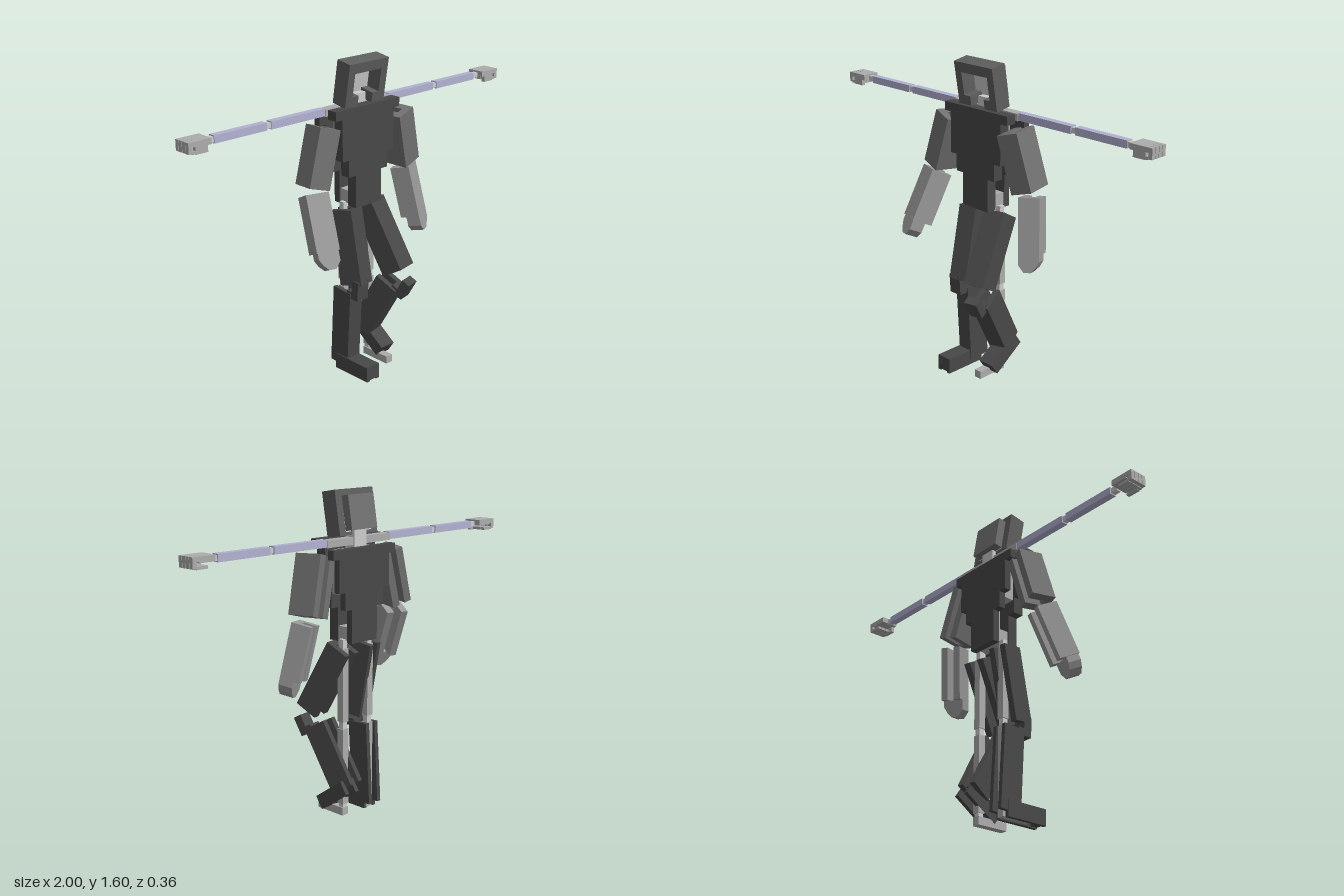
import * as THREE from 'three';

const mat = (name, color) => {
  const m = new THREE.MeshStandardMaterial({ color });
  m.name = name;
  return m;
};

export function createModel() {
  const root = new THREE.Group();
  root.name = 'armouredFigure';
  const charcoal = mat('charcoal', 0x484848);
  const helmetGrey = mat('helmetGrey', 0x5e5e5e);
  const armGrey = mat('armGrey', 0x717171);
  const forearmGrey = mat('forearmGrey', 0x989898);
  const boneGrey = mat('boneGrey', 0xacacac);
  const paleGrey = mat('paleGrey', 0xcccccc);
  const lavender = mat('lavender', 0xb2b2d2);

  const add = (parent, name, geometry, material) => {
    const m = new THREE.Mesh(geometry, material);
    m.name = name;
    parent.add(m);
    return m;
  };
  // Box given by its limits on each axis
  const box = (parent, name, material, x0, x1, y0, y1, z0, z1) => {
    const m = add(parent, name, new THREE.BoxGeometry(x1 - x0, y1 - y0, z1 - z0), material);
    m.position.set((x0 + x1) / 2, (y0 + y1) / 2, (z0 + z1) / 2);
    return m;
  };
  const shapeOf = pts => new THREE.Shape(pts.map(p => new THREE.Vector2(p[0], p[1])));
  const extrude = (pts, depth) =>
    new THREE.ExtrudeGeometry(shapeOf(pts), { depth, bevelEnabled: false });

  // Armour channel from one joint to the next, closed on its front, open at its back.
  // The group's origin is the upper joint; its local -y runs along the limb.
  const channel = (name, material, from, to, w, d, wall, front) => {
    const a = new THREE.Vector3(...from), b = new THREE.Vector3(...to);
    const L = a.distanceTo(b);
    const Y = a.clone().sub(b).normalize();
    const X = Y.clone().cross(new THREE.Vector3(...front)).normalize();
    const Z = X.clone().cross(Y);
    const g = new THREE.Group();
    g.name = name;
    g.quaternion.setFromRotationMatrix(new THREE.Matrix4().makeBasis(X, Y, Z));
    g.position.copy(a);
    const x = w / 2, z = d / 2;
    const geo = extrude([
      [-x, -z], [x, -z], [x, z], [x - wall, z], [x - wall, wall - z],
      [wall - x, wall - z], [wall - x, z], [-x, z],
    ], L);
    geo.rotateX(-Math.PI / 2).translate(0, -L, 0);
    add(g, name + 'Shell', geo, material);
    root.add(g);
    g.userData.length = L;
    return g;
  };

  // Torso: stepped front and back plates around a bony core
  const torsoOutline = top => {
    const half = [
      [0.085, 0.885], [0.085, 1.05], [0.128, 1.05], [0.128, 1.135],
      [0.168, 1.135], [0.168, top - 0.045], [0.208, top - 0.045], [0.208, top],
    ];
    return [...half, ...half.map(([x, y]) => [-x, y]).reverse()];
  };
  add(root, 'chestPlate', extrude(torsoOutline(1.385), 0.055), charcoal).position.z = -0.045;
  add(root, 'backPlate', extrude(torsoOutline(1.34), 0.035), charcoal).position.z = -0.14;
  box(root, 'ribCage', boneGrey, -0.12, 0.12, 1.12, 1.33, -0.105, -0.045);
  box(root, 'spine', boneGrey, -0.03, 0.03, 0.9, 1.12, -0.1, -0.05);
  box(root, 'pelvis', boneGrey, -0.08, 0.08, 0.895, 0.96, -0.105, -0.045);
  box(root, 'shoulderBar', boneGrey, -0.21, 0.21, 1.35, 1.385, -0.105, -0.06);
  box(root, 'neck', paleGrey, -0.04, 0.04, 1.33, 1.43, -0.11, -0.05);

  // Head: helmet frame with a face opening, skull box behind
  const head = new THREE.Group();
  head.name = 'head';
  head.position.set(-0.004, 1.39, -0.055);
  head.rotation.x = 0.17;
  root.add(head);
  const frame = [
    [-0.126, 0], [-0.045, 0], [-0.045, 0.05], [-0.085, 0.05], [-0.085, 0.165],
    [0.085, 0.165], [0.085, 0.05], [0.045, 0.05], [0.045, 0], [0.126, 0],
    [0.126, 0.215], [-0.126, 0.215],
  ];
  add(head, 'helmetFrame', extrude(frame, 0.085), helmetGrey).position.z = -0.043;
  box(head, 'skull', armGrey, -0.085, 0.085, 0.02, 0.185, -0.085, -0.043);
  box(head, 'facePlate', paleGrey, -0.086, 0.086, 0.015, 0.166, -0.043, -0.036);

  // Arm bones stretched straight to both sides, ending in fists
  for (const s of [-1, 1]) {
    const side = s > 0 ? 'left' : 'right';
    const arm = new THREE.Group();
    arm.name = side + 'BoneArm';
    root.add(arm);
    const part = (name, m, x0, x1, ...yz) =>
      box(arm, name, m, Math.min(s * x0, s * x1), Math.max(s * x0, s * x1), ...yz);
    part('upperArmBone', lavender, 0.21, 0.53, 1.353, 1.389, -0.1, -0.064);
    part('elbowJoint', paleGrey, 0.53, 0.555, 1.358, 1.384, -0.094, -0.068);
    part('forearmBone', lavender, 0.555, 0.845, 1.353, 1.389, -0.1, -0.064);
    part('wristJoint', paleGrey, 0.845, 0.88, 1.358, 1.384, -0.094, -0.068);
    part('palm', boneGrey, 0.88, 0.965, 1.365, 1.393, -0.127, -0.035);
    part('thumb', boneGrey, 0.9, 0.965, 1.335, 1.365, -0.053, -0.035);
    for (let i = 0; i < 4; i++) {
      const z = -0.127 + i * 0.0237;
      part('fingerTop', boneGrey, 0.965, 1, 1.37, 1.393, z, z + 0.021);
      part('fingerEnd', boneGrey, 0.98, 1, 1.342, 1.37, z, z + 0.021);
      part('fingerTip', boneGrey, 0.92, 0.98, 1.338, 1.352, z, z + 0.021);
    }

    // Leg bones standing straight
    const leg = new THREE.Group();
    leg.name = side + 'BoneLeg';
    leg.position.x = s * 0.085;
    root.add(leg);
    box(leg, 'hipJoint', paleGrey, -0.014, 0.014, 0.85, 0.9, -0.092, -0.064);
    box(leg, 'thighBone', boneGrey, -0.019, 0.019, 0.49, 0.855, -0.097, -0.06);
    box(leg, 'kneeJoint', paleGrey, -0.014, 0.014, 0.455, 0.49, -0.092, -0.064);
    box(leg, 'shinBone', boneGrey, -0.019, 0.019, 0.07, 0.455, -0.097, -0.06);
    box(leg, 'ankleJoint', paleGrey, -0.014, 0.014, 0.05, 0.07, -0.092, -0.064);
    box(leg, 'footBone', boneGrey, -0.02, 0.02, 0.012, 0.052, -0.095, 0.075);
  }

  // Arm armour hanging at the sides
  channel('leftUpperArm', armGrey, [0.22, 1.312, -0.035], [0.295, 1.035, -0.06],
    0.115, 0.145, 0.04, [0.15, 0, 1]);
  channel('rightUpperArm', armGrey, [-0.225, 1.305, -0.06], [-0.307, 1.03, -0.05],
    0.112, 0.13, 0.04, [-0.2, 0, 1]);
  const forearms = [
    channel('leftForearm', forearmGrey, [0.311, 1.005, -0.06], [0.352, 0.74, -0.02],
      0.105, 0.1, 0.035, [0.45, 0, 1]),
    channel('rightForearm', forearmGrey, [-0.316, 1.0, -0.035], [-0.35, 0.75, 0.075],
      0.115, 0.11, 0.037, [-0.35, 0, 1]),
  ];
  // Tapered hand guards with stepped fingertips
  forearms.forEach((g, i) => {
    const s = i ? -1 : 1;
    const pts = [[0.052, 0], [0.052, -0.03], [0.035, -0.06], [0.01, -0.085],
      [-0.025, -0.085], [-0.052, -0.05], [-0.052, 0]].map(([x, y]) => [s * x, y]);
    const hand = add(g, 'handGuard', extrude(pts, 0.07), forearmGrey);
    hand.position.set(0, -g.userData.length, -0.02);
  });

  // Leg armour: one leg planted, the other lifted mid-stride
  channel('rightThigh', charcoal, [-0.08, 0.865, -0.065], [-0.08, 0.49, 0.008],
    0.095, 0.125, 0.03, [0.2, 0, 1]);
  channel('leftThigh', charcoal, [0.085, 0.86, -0.08], [0.12, 0.53, 0.1],
    0.115, 0.12, 0.035, [0.2, 0, 1]);
  const shins = [
    channel('rightShin', charcoal, [-0.09, 0.45, -0.045], [-0.09, 0.035, -0.07],
      0.082, 0.12, 0.022, [0, 0, 1]),
    channel('leftShin', charcoal, [0.115, 0.46, 0.055], [0.088, 0.165, -0.11],
      0.1, 0.125, 0.03, [0.2, 0, 1]),
  ];
  // Knee guards
  for (const g of shins) {
    box(g, 'kneeGuard', charcoal, -0.036, 0.036, -0.025, 0.075, 0.062, 0.107);
    box(g, 'kneeBridge', charcoal, -0.036, 0.036, -0.025, 0.012, 0.03, 0.062);
  }
  // Shoes: channels open at the sole with a solid toe cap
  const shoes = [
    channel('rightShoe', charcoal, [-0.095, 0.045, 0.14], [-0.095, 0.045, -0.09],
      0.082, 0.08, 0.02, [0, 1, 0]),
    channel('leftShoe', charcoal, [0.108, 0.062, 0.022], [0.108, 0.18, -0.147],
      0.088, 0.07, 0.022, [0, 1, 0]),
  ];
  for (const g of shoes) box(g, 'toeCap', charcoal, -0.03, 0.03, -0.04, -0.001, -0.034, 0.03);

  return root;
}
